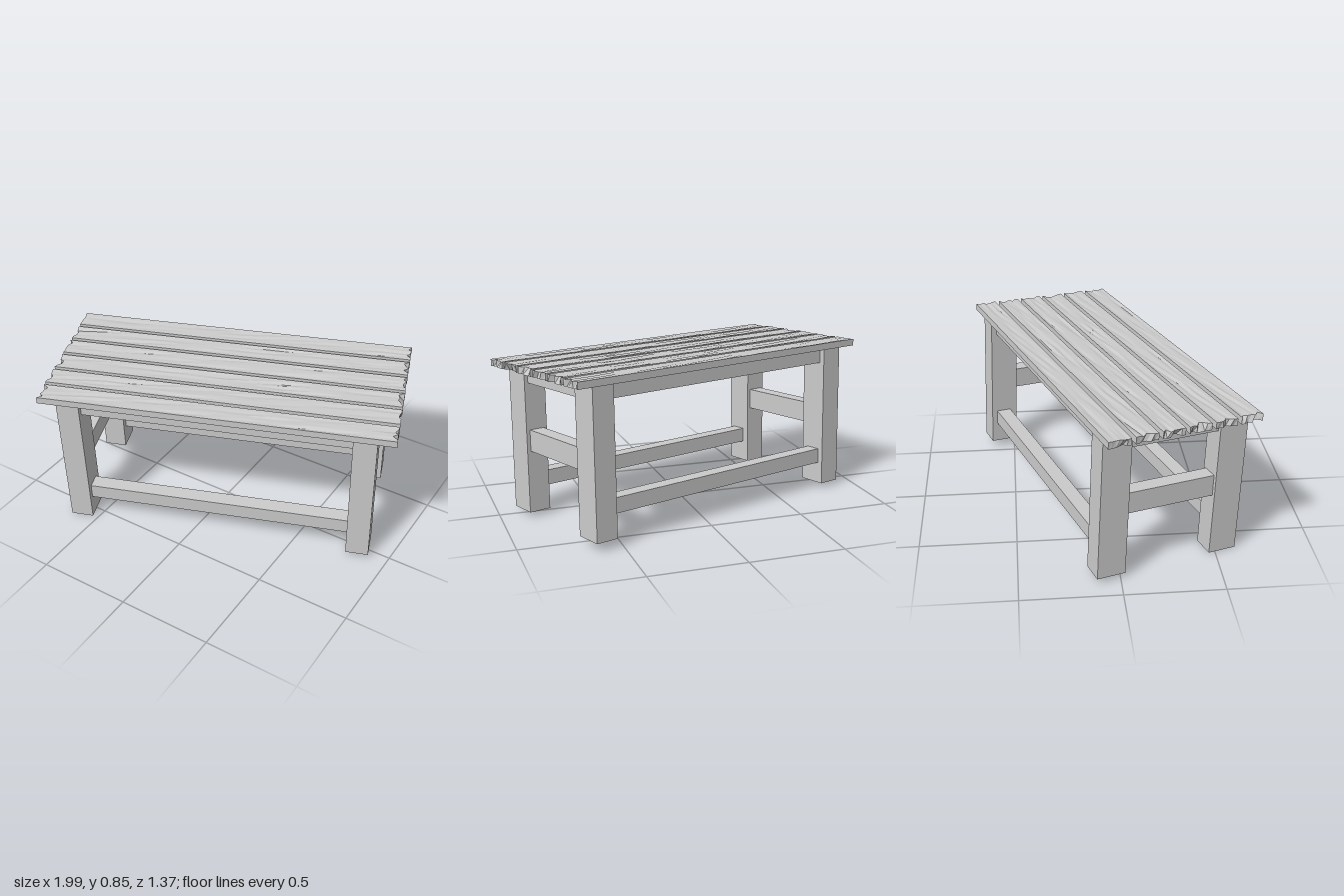
import * as THREE from 'three';

const wood = new THREE.MeshStandardMaterial({ color: 0xcccccc, flatShading: true });

// Repeatable noise in 0..1 from a position, so shared corners move together
function noise(a, b, c) {
  const s = Math.sin(a * 127.1 + b * 311.7 + c * 74.7) * 43758.5453;
  return s - Math.floor(s);
}

function beam(name, size, pos) {
  const mesh = new THREE.Mesh(new THREE.BoxGeometry(...size), wood);
  mesh.name = name;
  mesh.position.set(...pos);
  return mesh;
}

// Weathered plank: chipped ends and shallow worn grooves along the top
function plank(index, length, thick, width) {
  const geo = new THREE.BoxGeometry(length, thick, width, 12, 1, 6);
  const p = geo.attributes.position;
  for (let i = 0; i < p.count; i++) {
    const x = p.getX(i), y = p.getY(i), z = p.getZ(i);
    const kx = Math.round(x * 100), kz = Math.round(z * 1000);
    const atEnd = Math.abs(x) > length / 2 - 0.001;
    const atSide = Math.abs(z) > width / 2 - 0.001;
    if (atEnd && !atSide) {
      const chip = noise(kx + index, y > 0 ? 1 : 2, kz);
      p.setX(i, x - Math.sign(x) * 0.03 * chip * chip);
    }
    if (y > 0 && !atSide) {
      const wear = noise(kx, index + 5, kz);
      p.setY(i, y - 0.007 * wear ** 3);
    }
  }
  geo.computeVertexNormals();
  const mesh = new THREE.Mesh(geo, wood);
  mesh.name = 'plank';
  return mesh;
}

export function createModel() {
  const model = new THREE.Group();
  model.name = 'table';
  const frame = new THREE.Group();
  frame.name = 'frame';
  const top = new THREE.Group();
  top.name = 'tabletop';
  model.add(frame, top);

  const underside = 0.765, legW = 0.12, legD = 0.15, legX = 0.76, legZ = 0.31;
  const longSpan = 2 * legX - legW, endSpan = 2 * legZ - legD;

  for (const s of [-1, 1]) {
    // Legs
    for (const t of [-1, 1]) {
      frame.add(beam('leg', [legW, underside, legD], [s * legX, underside / 2, t * legZ]));
    }
    // Long rails, front and back
    frame.add(beam('longApron', [longSpan, 0.079, 0.08], [0, 0.7255, s * 0.315]));
    frame.add(beam('longStretcher', [longSpan, 0.08, 0.08], [0, 0.156, s * 0.315]));
    // End rails
    frame.add(beam('endApron', [0.08, 0.079, endSpan], [s * legX, 0.7255, 0]));
    frame.add(beam('endStretcher', [0.08, 0.113, endSpan], [s * legX, 0.384, 0]));
  }

  // Six planks with narrow gaps
  const thick = 0.036;
  for (let i = 0; i < 6; i++) {
    const board = plank(i, 1.826, thick, 0.116);
    board.position.set(0, underside + thick / 2, (i - 2.5) * 0.138);
    top.add(board);
  }

  // The table stands turned and slightly tilted
  model.rotation.set(0.037, 0.342, 0);
  model.position.set(0, 0.025, -0.03);
  const root = new THREE.Group();
  root.add(model);
  return root;
}
